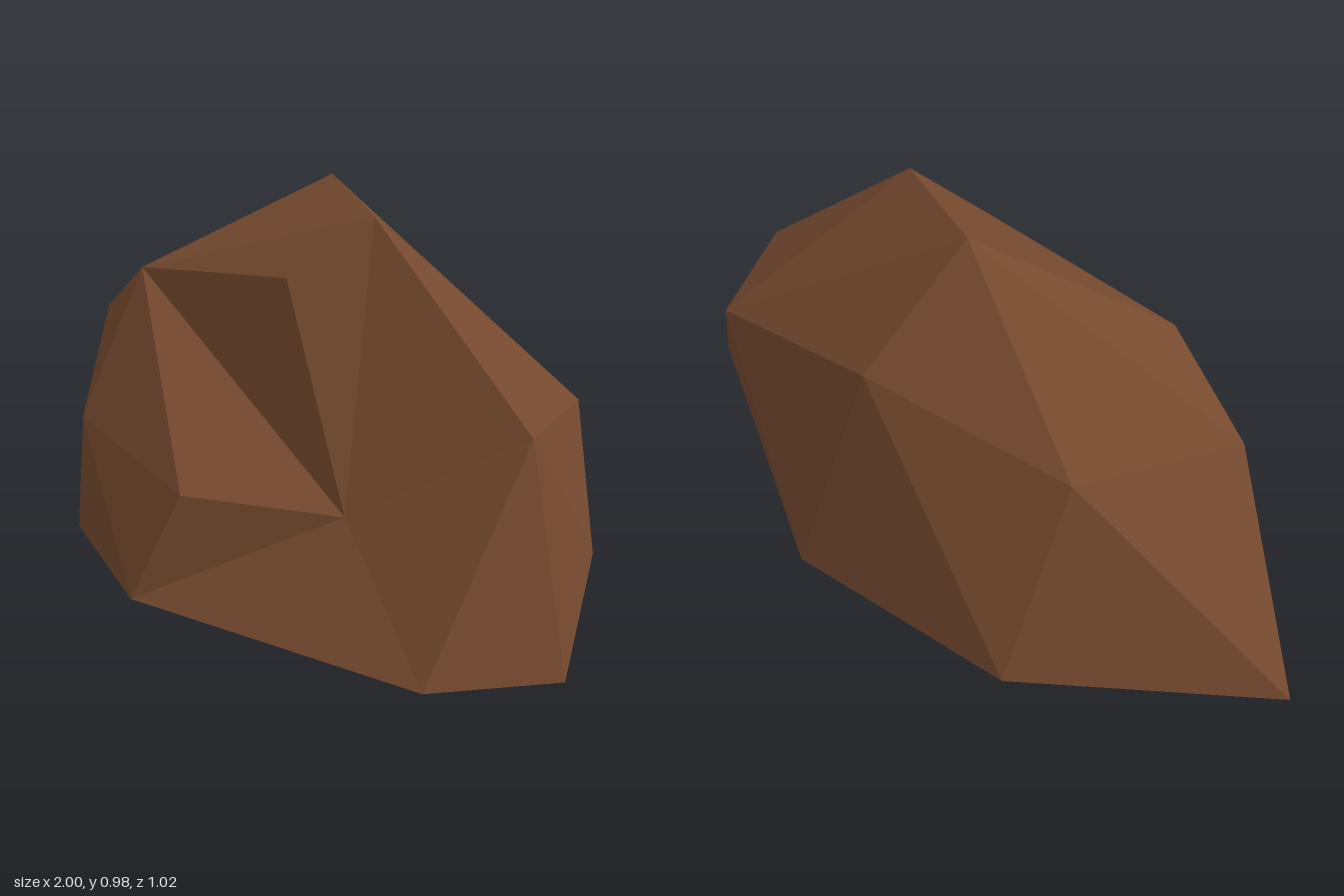
import * as THREE from 'three';

// Corner points of the boulder
const points = {
  // ground outline
  footLeft: [-1, 0, -0.1], footFrontLeft: [-0.47, 0, 0.35], footFront: [0, 0, 0.51],
  footFrontRight: [0.83, 0, 0.29], footRight: [1, 0, 0],
  footBackRight: [0.28, 0, -0.51], footBackLeft: [-0.43, 0, -0.51],
  // sides and ledge
  bulge: [-0.46, 0.32, 0.33], shoulderLeft: [-0.7, 0.53, 0.07], brow: [-0.42, 0.715, 0.15],
  ledge: [0.11, 0.295, 0.43], notch: [0.47, 0.295, 0.21],
  shoulderRight: [0.87, 0.56, 0], hip: [0.91, 0.24, -0.18], backRight: [0.7, 0.53, -0.345],
  back: [0.07, 0.65, -0.45], backLeft: [-0.5, 0.535, -0.34],
  // crown
  crest: [0.17, 0.81, 0.14], peakLeft: [-0.06, 0.98, -0.21], peakRight: [0.31, 0.965, -0.02],
};

// Facets fan around a corner, counter-clockwise from outside; closed fans wrap round
const fans = [
  ['bulge', 'brow shoulderLeft footLeft footFrontLeft footFront ledge', true],
  ['notch', 'brow ledge footFront footFrontRight shoulderRight peakRight crest', true],
  ['peakLeft', 'shoulderLeft brow peakRight backRight back backLeft', true],
  ['hip', 'shoulderRight footRight footBackRight backRight', true],
  ['back', 'backRight footBackRight footBackLeft backLeft', false],
  ['backLeft', 'footBackLeft footLeft shoulderLeft', false],
  ['shoulderRight', 'footFrontRight footRight', false],
  ['peakRight', 'brow crest', false],
  ['peakRight', 'shoulderRight backRight', false],
];

export function createModel() {
  const positions = [];
  for (const [hub, rimNames, closed] of fans) {
    const rim = rimNames.split(' ');
    const count = closed ? rim.length : rim.length - 1;
    for (let i = 0; i < count; i++) {
      positions.push(...points[hub], ...points[rim[i]], ...points[rim[(i + 1) % rim.length]]);
    }
  }
  const geometry = new THREE.BufferGeometry();
  geometry.setAttribute('position', new THREE.Float32BufferAttribute(positions, 3));
  geometry.computeVertexNormals(); // unshared corners give flat facets

  // The shell is open underneath
  const brownStone = new THREE.MeshStandardMaterial({ color: 0x75492e, side: THREE.DoubleSide, flatShading: true });
  brownStone.name = 'brownStone';

  const boulder = new THREE.Mesh(geometry, brownStone);
  boulder.name = 'boulder';
  const group = new THREE.Group();
  group.name = 'rock';
  group.add(boulder);
  return group;
}
